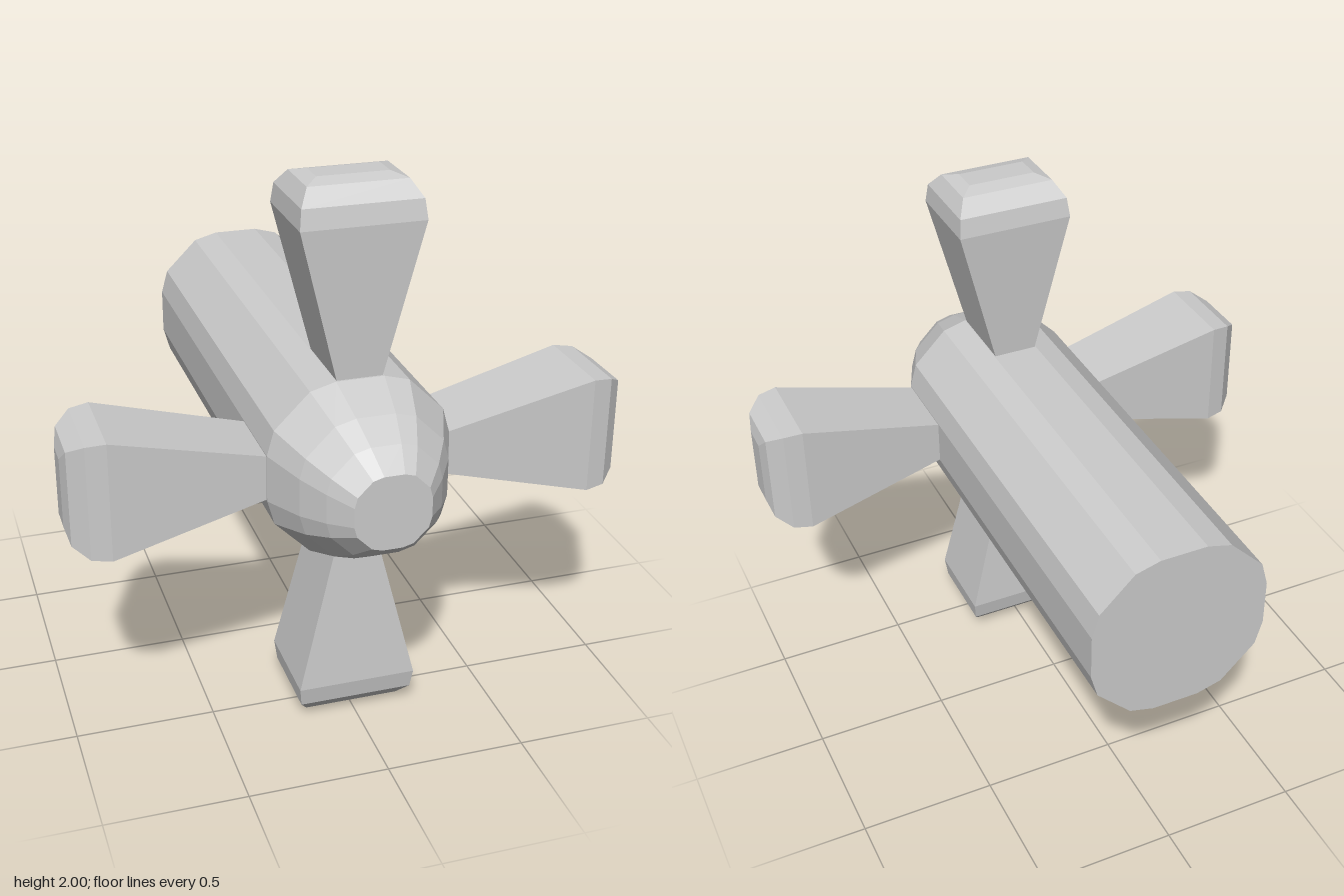
import * as THREE from 'three';

const material = new THREE.MeshStandardMaterial({ color: 0xcccccc, flatShading: true });

// Skins counter-clockwise rings stacked along +z and caps both ends.
function loft(rings) {
  const pos = [];
  const tri = (a, b, c) => pos.push(...a, ...b, ...c);
  const n = rings[0].length;
  for (let i = 0; i < rings.length - 1; i++) {
    const lo = rings[i], hi = rings[i + 1];
    for (let j = 0; j < n; j++) {
      const k = (j + 1) % n;
      tri(lo[j], lo[k], hi[k]);
      tri(lo[j], hi[k], hi[j]);
    }
  }
  const first = rings[0], last = rings[rings.length - 1];
  for (let j = 1; j < n - 1; j++) {
    tri(first[0], first[j + 1], first[j]);
    tri(last[0], last[j], last[j + 1]);
  }
  const geometry = new THREE.BufferGeometry();
  geometry.setAttribute('position', new THREE.Float32BufferAttribute(pos, 3));
  geometry.computeVertexNormals();
  return geometry;
}

// Faceted outline of the body: one quadrant repeated four times.
function bodyRing(z, scale) {
  const ring = [];
  const quadrant = [[0.325, 0.085], [0.3, 0.175], [0.175, 0.3], [0.085, 0.325]];
  for (let q = 0; q < 4; q++) {
    for (const [a, b] of quadrant) {
      const [x, y] = [[a, b], [-b, a], [-a, -b], [b, -a]][q];
      ring.push([x * scale, y * scale, z]);
    }
  }
  return ring;
}

const rectRing = ([z, w, d]) => [[w, d, z], [-w, d, z], [-w, -d, z], [w, -d, z]];

export function createModel() {
  const group = new THREE.Group();

  // Long shaft with a rounded, blunt nose
  const body = new THREE.Mesh(loft([
    [-0.985, 1], [0.64, 1], [0.8, 0.8], [0.9, 0.615], [0.985, 0.41],
  ].map(([z, s]) => bodyRing(z, s))), material);
  body.name = 'body';
  body.position.y = 1;
  group.add(body);

  // Four flaring blades with rounded tips: [radius, half width, half depth]
  const bladeGeometry = loft([
    [0.28, 0.07, 0.141], [0.86, 0.215, 0.17], [0.93, 0.207, 0.157],
    [0.985, 0.173, 0.105], [1, 0.125, 0.05],
  ].map(rectRing)).rotateX(-Math.PI / 2);
  ['topBlade', 'rightBlade', 'bottomBlade', 'leftBlade'].forEach((name, i) => {
    const blade = new THREE.Mesh(bladeGeometry, material);
    blade.name = name;
    blade.position.set(0, 1, 0.49);
    blade.rotation.z = i * Math.PI / 2;
    group.add(blade);
  });

  return group;
}
